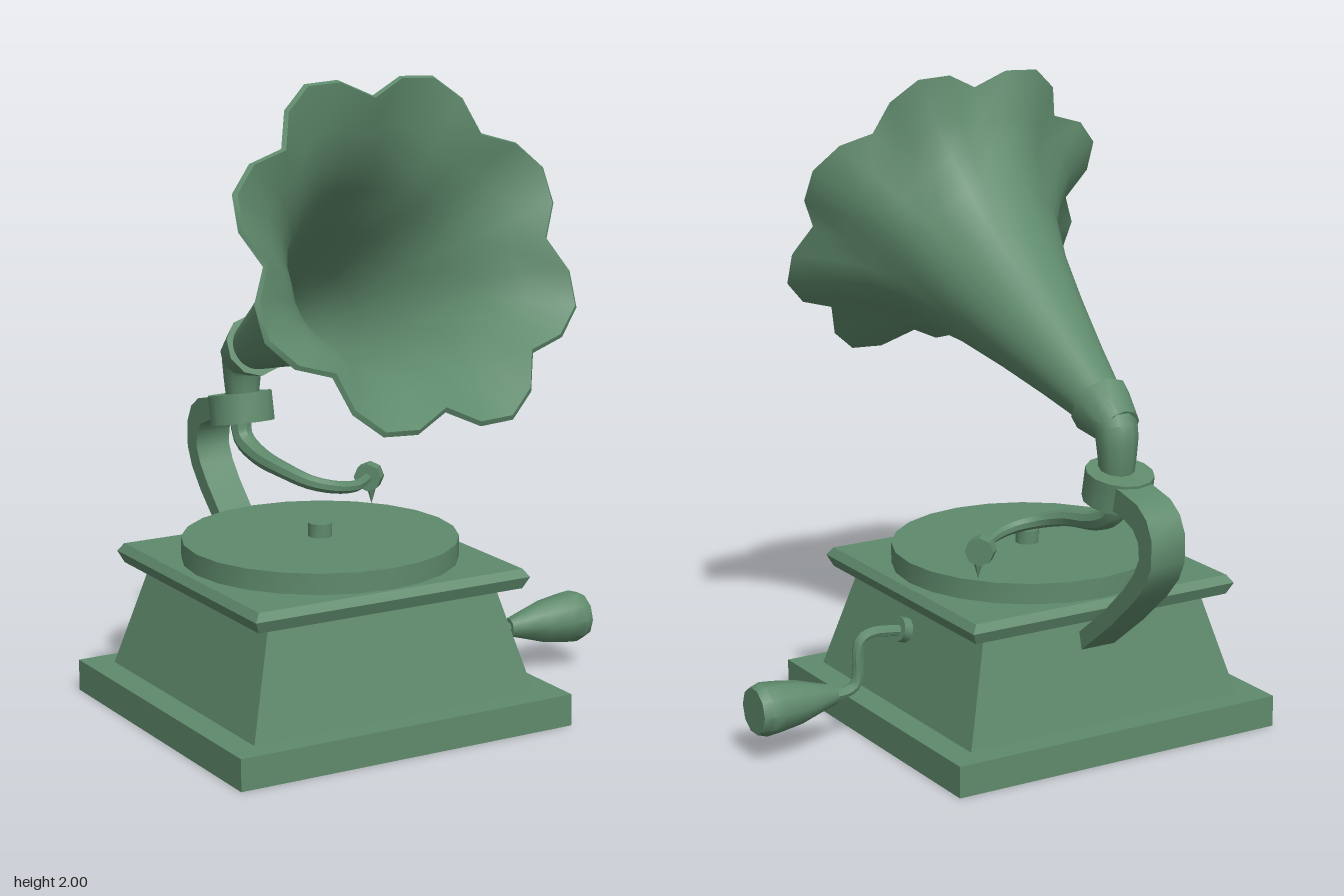
import * as THREE from 'three';
import { toCreasedNormals } from 'three/addons/utils/BufferGeometryUtils.js';

const material = new THREE.MeshStandardMaterial({ color: 0x5f8a6c });
const CX = -0.195; // centre line of the cabinet
const CZ = 0.005;

const v = (x, y, z) => new THREE.Vector3(x, y, z);

function add(parent, name, geometry, x = 0, y = 0, z = 0, crease = 0.7) {
  const mesh = new THREE.Mesh(toCreasedNormals(geometry, crease), material);
  mesh.name = name;
  mesh.position.set(x, y, z);
  parent.add(mesh);
  return mesh;
}

// Box whose top rectangle differs from its bottom one (half sizes)
function frustum(y0, hx0, hz0, y1, hx1, hz1) {
  const g = new THREE.BoxGeometry(2, 2, 2);
  const p = g.attributes.position;
  for (let i = 0; i < p.count; i++) {
    const top = p.getY(i) > 0;
    p.setXYZ(i, p.getX(i) * (top ? hx1 : hx0), top ? y1 : y0, p.getZ(i) * (top ? hz1 : hz0));
  }
  return g;
}

// Round tube whose radius runs from r0 to r1 along the path
function taperedTube(points, r0, r1, segments, sides) {
  const path = new THREE.CatmullRomCurve3(points);
  const g = new THREE.TubeGeometry(path, segments, 1, sides, false);
  const p = g.attributes.position;
  const q = new THREE.Vector3();
  for (let i = 0; i < p.count; i++) {
    const t = Math.floor(i / (sides + 1)) / segments;
    const c = path.getPointAt(t);
    q.fromBufferAttribute(p, i).sub(c).multiplyScalar(r0 + (r1 - r0) * t).add(c);
    p.setXYZ(i, q.x, q.y, q.z);
  }
  return g;
}

// Eight-petalled flare along +z; rings are [z, radius at the dips, petal height]
function petalHorn(rings, sides) {
  const pos = [], index = [];
  rings.forEach(([z, r, petal], i) => {
    for (let j = 0; j < sides; j++) {
      const a = (j / sides) * Math.PI * 2;
      const R = r + petal * Math.abs(Math.sin(4 * a));
      pos.push(R * Math.sin(a), R * Math.cos(a), z);
      if (i === rings.length - 1) continue;
      const k = (j + 1) % sides;
      const A = i * sides + j, B = A + sides, C = i * sides + k, D = C + sides;
      index.push(A, B, C, C, B, D);
    }
  });
  const g = new THREE.BufferGeometry();
  g.setAttribute('position', new THREE.Float32BufferAttribute(pos, 3));
  g.setIndex(index);
  return g;
}

function buildCabinet(root) {
  const cabinet = new THREE.Group();
  cabinet.name = 'cabinet';
  cabinet.position.set(CX, 0, CZ);
  root.add(cabinet);
  add(cabinet, 'plinth', frustum(0, 0.575, 0.545, 0.1, 0.575, 0.545));
  add(cabinet, 'body', frustum(0.1, 0.488, 0.465, 0.43, 0.395, 0.385), 0, 0, 0, 0.2);
  add(cabinet, 'mouldingLower', frustum(0.43, 0.457, 0.442, 0.467, 0.475, 0.458), 0, 0, 0, 0.2);
  add(cabinet, 'mouldingUpper', frustum(0.467, 0.475, 0.458, 0.492, 0.457, 0.442), 0, 0, 0, 0.2);
  add(cabinet, 'turntable', new THREE.CylinderGeometry(0.43, 0.43, 0.067, 24), 0, 0.5235, 0);
  add(cabinet, 'spindle', new THREE.CylinderGeometry(0.038, 0.038, 0.05, 10), 0, 0.575, 0);
}

function buildHorn(root) {
  const horn = new THREE.Group();
  horn.name = 'hornAssembly';
  horn.position.set(-0.21, 1.525, 0.55);
  horn.rotation.x = -0.438;
  root.add(horn);
  const outer = [
    [-1.06, 0.07, 0], [-0.84, 0.117, 0], [-0.64, 0.164, 0], [-0.44, 0.217, 0],
    [-0.255, 0.275, 0.01], [-0.16, 0.33, 0.022], [-0.08, 0.392, 0.04], [0, 0.475, 0.09],
  ];
  // The inner wall follows the outer one back down to the throat
  const inner = outer.slice(1).reverse().map(([z, r, a], i) => [z + 0.012, r - (i ? 0.014 : 0.012), a]);
  add(horn, 'horn', petalHorn([...outer, ...inner, [-0.95, 0, 0]], 32), 0, 0, 0, 0.9);
  // Collar where the horn plugs into the elbow
  const collar = new THREE.CylinderGeometry(0.1, 0.066, 0.12, 10).rotateX(Math.PI / 2);
  add(horn, 'hornCollar', collar, 0, 0, -1.085);
}

function buildSupport(root) {
  const elbow = taperedTube(
    [v(-0.205, 1.075, -0.425), v(-0.203, 1.035, -0.475), v(-0.2, 0.98, -0.487), v(-0.2, 0.87, -0.485)],
    0.074, 0.05, 10, 10);
  add(root, 'elbow', elbow);

  const ring = add(root, 'supportRing', new THREE.CylinderGeometry(0.105, 0.105, 0.095, 14), -0.2, 0.866, -0.495);
  ring.rotation.x = -0.2;

  // Curved strap from the ring down to the back of the body, drawn in (z, y)
  const strap = new THREE.Shape([
    [-0.55, 0.89], [-0.6, 0.885], [-0.69, 0.865], [-0.74, 0.83], [-0.768, 0.775], [-0.768, 0.69],
    [-0.74, 0.63], [-0.68, 0.56], [-0.56, 0.452], [-0.36, 0.295], [-0.36, 0.36], [-0.52, 0.485],
    [-0.63, 0.59], [-0.68, 0.65], [-0.705, 0.7], [-0.7, 0.75], [-0.67, 0.785], [-0.61, 0.808], [-0.55, 0.815],
  ].map(([z, y]) => new THREE.Vector2(z, y)));
  const g = new THREE.ExtrudeGeometry(strap, { depth: 0.12, bevelEnabled: false });
  g.translate(0, 0, -0.06).rotateY(-Math.PI / 2);
  add(root, 'supportStrap', g, CX, 0, 0);
}

function buildToneArm(root) {
  const arm = taperedTube([
    v(-0.205, 0.85, -0.49), v(-0.205, 0.775, -0.475), v(-0.195, 0.73, -0.39), v(-0.175, 0.705, -0.25),
    v(-0.13, 0.68, -0.165), v(-0.06, 0.663, -0.132), v(0.02, 0.652, -0.15), v(0.08, 0.648, -0.2), v(0.125, 0.648, -0.245),
  ], 0.036, 0.014, 28, 8);
  add(root, 'toneArm', arm);

  const head = add(root, 'soundHead', new THREE.CylinderGeometry(0.045, 0.045, 0.045, 8).rotateX(Math.PI / 2),
    0.13, 0.65, -0.247);
  head.rotation.y = Math.PI * 0.75;
  add(root, 'needle', new THREE.ConeGeometry(0.018, 0.065, 6).rotateX(Math.PI), 0.137, 0.592, -0.243);
}

function buildCrank(root) {
  const crank = new THREE.Group();
  crank.name = 'crank';
  crank.position.z = 0.038;
  root.add(crank);
  const flange = add(crank, 'crankFlange', new THREE.CylinderGeometry(0.04, 0.04, 0.04, 10), 0.238, 0.33, 0);
  flange.rotation.z = -Math.PI / 2 + 0.275;
  const rod = taperedTube([
    v(0.22, 0.325, 0), v(0.29, 0.336, 0), v(0.355, 0.34, 0), v(0.39, 0.325, 0), v(0.402, 0.285, 0),
    v(0.402, 0.22, 0), v(0.412, 0.18, 0), v(0.445, 0.163, 0), v(0.52, 0.163, 0),
  ], 0.018, 0.018, 24, 8);
  add(crank, 'crankRod', rod);
  const profile = [[0, 0.485], [0.03, 0.485], [0.045, 0.535], [0.068, 0.61], [0.08, 0.69], [0.084, 0.735], [0.074, 0.765], [0, 0.765]]
    .map(([r, x]) => new THREE.Vector2(r, x));
  add(crank, 'crankHandle', new THREE.LatheGeometry(profile, 10).rotateZ(-Math.PI / 2), 0, 0.163, 0);
}

export function createModel() {
  const root = new THREE.Group();
  root.name = 'hornRecordPlayer';
  buildCabinet(root);
  buildHorn(root);
  buildSupport(root);
  buildToneArm(root);
  buildCrank(root);
  return root;
}
